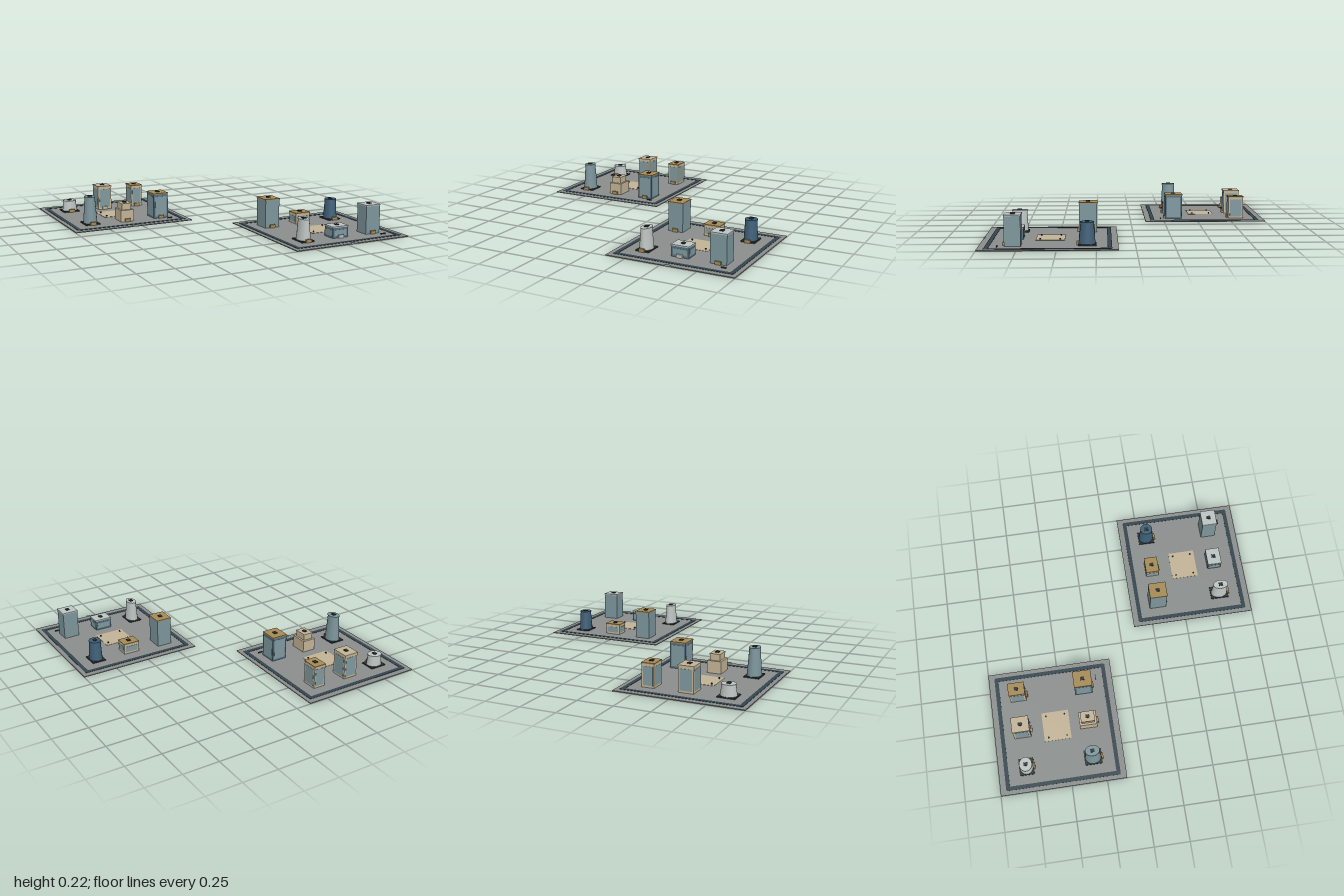
import * as THREE from 'three';

const GREY = 0x8a8e8c, DARK = 0x34454d, BLACK = 0x2c3234, BEIGE = 0xc2b396, GOLD = 0xa58a55;
const WHITE = 0xbcc4c2, GLASS = 0x7f999e, BLUE = 0x547080, NAVY = 0x3f6078, MIST = 0x7c969c;
const SLAB = 0.006;

const mats = new Map();
function mat(color) {
  if (!mats.has(color)) mats.set(color, new THREE.MeshStandardMaterial({ color }));
  return mats.get(color);
}

function add(parent, name, geometry, color, x = 0, y = 0, z = 0) {
  const mesh = new THREE.Mesh(geometry, mat(color));
  mesh.name = name;
  mesh.position.set(x, y, z);
  parent.add(mesh);
  return mesh;
}

// Box standing on height y
function box(parent, name, color, w, h, d, x, y, z) {
  return add(parent, name, new THREE.BoxGeometry(w, h, d), color, x, y + h / 2, z);
}

// Entrance canopy and roof vent shared by all buildings
function trims(g, h, frontZ, accent) {
  box(g, 'entrance', accent, 0.042, 0.022, 0.014, 0, 0, frontZ + 0.005);
  box(g, 'roofVent', BLACK, 0.024, 0.006, 0.028, 0, h, 0);
}

// Rectangular block, with glazed panels on all four sides when framed
function blockTower({ w, d, h, body, roof, accent, framed }) {
  const g = new THREE.Group();
  g.name = 'blockTower';
  const wall = h - 0.008;
  box(g, 'walls', body, w * 0.96, wall, d * 0.96, 0, 0, 0);
  box(g, 'roofSlab', roof, w, 0.008, d, 0, wall, 0);
  if (framed) {
    const ph = wall - 0.03;
    for (const s of [-1, 1]) {
      box(g, 'windowPanel', GLASS, w * 0.76, ph, 0.003, 0, 0.014, s * d * 0.48);
      box(g, 'windowPanel', GLASS, 0.003, ph, d * 0.76, s * w * 0.48, 0.014, 0);
    }
  }
  trims(g, h, d / 2 - 0.002, accent);
  return g;
}

// Tapered oval tower on a dark plinth
function ovalTower({ w, d, h, topW, topD, body, roof }) {
  const g = new THREE.Group();
  g.name = 'ovalTower';
  box(g, 'plinth', BLACK, w, 0.008, d, 0, 0, 0);
  const geo = new THREE.CylinderGeometry(1, 1, h - 0.016, 32, 1, true);
  const p = geo.attributes.position;
  for (let i = 0; i < p.count; i++) {
    const top = p.getY(i) > 0;
    p.setX(i, p.getX(i) * (top ? topW * 0.47 : w * 0.46));
    p.setZ(i, p.getZ(i) * (top ? topD * 0.47 : d * 0.46));
  }
  geo.computeVertexNormals();
  add(g, 'shaft', geo, body, 0, h / 2, 0);
  const cap = add(g, 'roofCap', new THREE.CylinderGeometry(0.5, 0.5, 0.008, 32), roof, 0, h - 0.004, 0);
  cap.scale.set(topW, 1, topD);
  trims(g, h, d / 2 - 0.003, GOLD);
  return g;
}

// Two stacked blocks
function steppedTower({ w, d, h, body, roof }) {
  const g = new THREE.Group();
  g.name = 'steppedTower';
  box(g, 'lowerTier', body, w, 0.085, d * 0.95, 0, 0, 0);
  box(g, 'upperTier', body, w * 0.7, h - 0.093, d * 0.7, 0, 0.085, 0);
  box(g, 'roofSlab', roof, w * 0.76, 0.008, d * 0.76, 0, h - 0.008, 0);
  trims(g, h, d / 2 - 0.002, GOLD);
  return g;
}

// Ground slab, ring road, plaza with posts and signs
function district(name, x, z, buildings) {
  const g = new THREE.Group();
  g.name = name;
  g.position.set(x, 0, z);
  box(g, 'groundSlab', GREY, 0.89, SLAB, 0.89, 0, 0, 0);
  for (const s of [-1, 1]) {
    box(g, 'ringRoad', DARK, 0.82, 0.002, 0.028, 0, SLAB, s * 0.39);
    box(g, 'ringRoad', DARK, 0.028, 0.002, 0.8, s * 0.401, SLAB, 0);
  }
  box(g, 'plaza', BEIGE, 0.21, 0.002, 0.192, 0, SLAB, 0);
  for (const sx of [-1, 1]) for (const sz of [-1, 1]) {
    add(g, 'plazaPost', new THREE.CylinderGeometry(0.005, 0.005, 0.01, 10), BLACK,
      sx * 0.079, SLAB + 0.006, sz * 0.066);
  }
  box(g, 'gateSign', WHITE, 0.042, 0.006, 0.006, 0, SLAB, 0.442);
  box(g, 'bench', BLACK, 0.036, 0.008, 0.005, 0.32, SLAB, 0.325);
  buildings.forEach(([make, spec], i) => {
    const b = make(spec);
    b.position.set((i % 3 - 1) * 0.264, SLAB, i < 3 ? -0.245 : 0.228);
    g.add(b);
  });
  return g;
}

export function createModel() {
  const root = new THREE.Group();
  root.name = 'cityDistricts';

  // Back row first, then front row, each from -x to +x
  root.add(district('backDistrict', -0.555, -0.555, [
    [ovalTower, { w: 0.12, d: 0.105, h: 0.085, topW: 0.1, topD: 0.09, body: WHITE, roof: WHITE }],
    [blockTower, { w: 0.11, d: 0.123, h: 0.18, body: BEIGE, roof: BEIGE, accent: BEIGE, framed: true }],
    [blockTower, { w: 0.092, d: 0.117, h: 0.165, body: BEIGE, roof: GOLD, accent: GOLD, framed: true }],
    [ovalTower, { w: 0.107, d: 0.125, h: 0.2, topW: 0.076, topD: 0.102, body: MIST, roof: MIST }],
    [steppedTower, { w: 0.1, d: 0.13, h: 0.132, body: BEIGE, roof: BEIGE }],
    [blockTower, { w: 0.118, d: 0.13, h: 0.186, body: BLUE, roof: GOLD, accent: GOLD, framed: true }],
  ]));
  root.add(district('frontDistrict', 0.555, 0.555, [
    [blockTower, { w: 0.115, d: 0.128, h: 0.207, body: MIST, roof: GOLD, accent: GOLD }],
    [blockTower, { w: 0.12, d: 0.097, h: 0.08, body: BEIGE, roof: GOLD, accent: GOLD, framed: true }],
    [ovalTower, { w: 0.1, d: 0.117, h: 0.15, topW: 0.085, topD: 0.09, body: NAVY, roof: NAVY }],
    [ovalTower, { w: 0.096, d: 0.13, h: 0.152, topW: 0.068, topD: 0.11, body: WHITE, roof: WHITE }],
    [blockTower, { w: 0.128, d: 0.103, h: 0.08, body: BLUE, roof: WHITE, accent: WHITE, framed: true }],
    [blockTower, { w: 0.118, d: 0.11, h: 0.203, body: MIST, roof: WHITE, accent: GOLD }],
  ]));
  return root;
}
